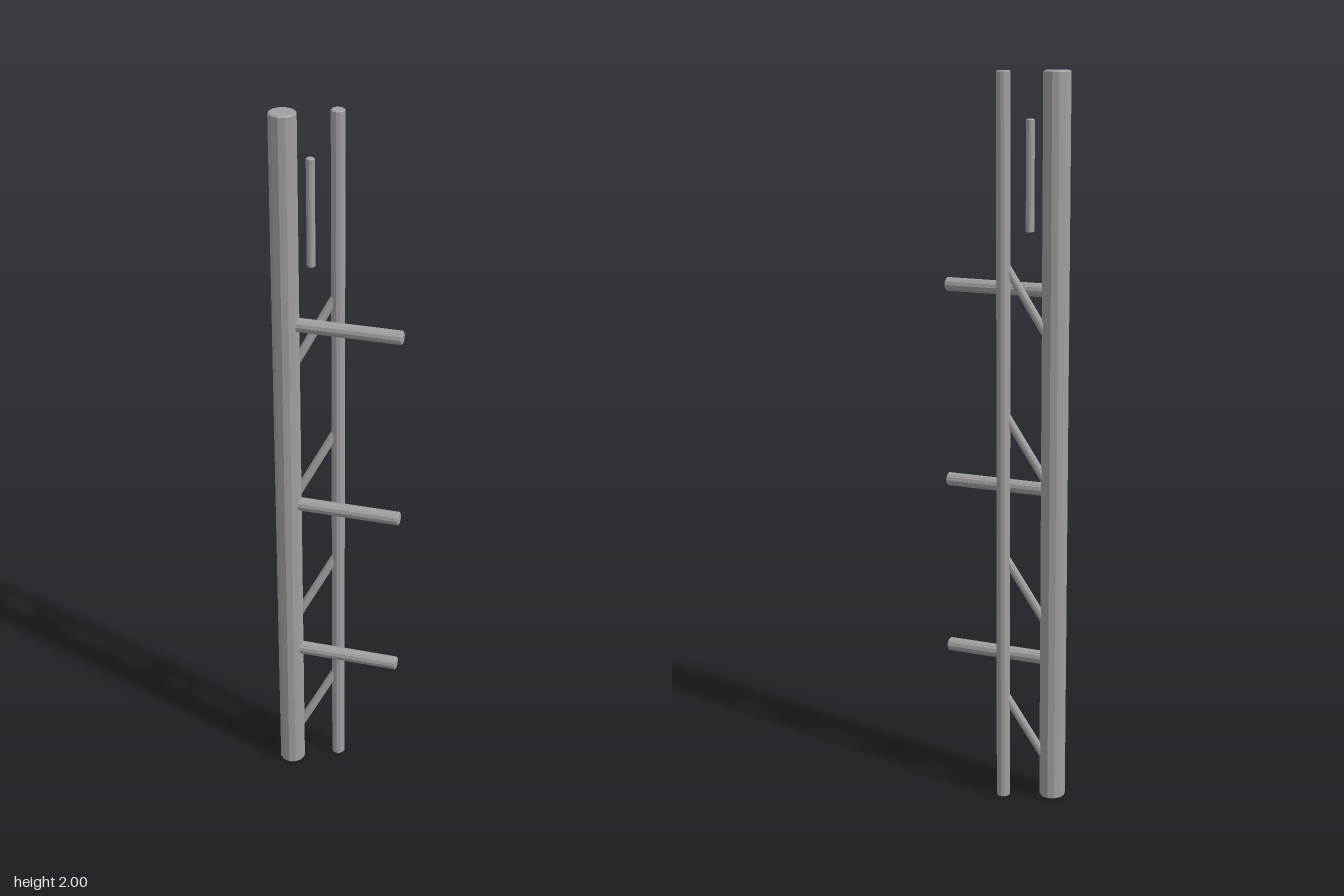
import * as THREE from 'three';

const steel = new THREE.MeshStandardMaterial({ color: 0xa0a0a0, flatShading: true });
steel.name = 'grey steel';

// Twelve-sided bar with slightly chamfered ends, running from one point to another
function bar(name, radius, from, to, bevel = 0.003) {
  const a = new THREE.Vector3(...from);
  const b = new THREE.Vector3(...to);
  const h = a.distanceTo(b) / 2;
  const profile = [
    [0, -h], [radius - bevel, -h], [radius, -h + bevel],
    [radius, h - bevel], [radius - bevel, h], [0, h],
  ].map(([x, y]) => new THREE.Vector2(x, y));
  const mesh = new THREE.Mesh(new THREE.LatheGeometry(profile, 12), steel);
  mesh.name = name;
  mesh.position.copy(a).add(b).multiplyScalar(0.5);
  mesh.quaternion.setFromUnitVectors(new THREE.Vector3(0, 1, 0), b.sub(a).normalize());
  return mesh;
}

export function createModel() {
  const model = new THREE.Group();
  model.name = 'braced pole';

  const [px, pz] = [-0.1385, 0.02];
  const [tx, tz] = [-0.0135, -0.0375];

  // Uprights
  model.add(bar('mainPole', 0.0365, [px, 0, pz], [px, 2, pz]));
  model.add(bar('thinPole', 0.0187, [tx, 0, tz], [tx, 2, tz]));

  // Short free rod between the uprights
  model.add(bar('shortRod', 0.0115, [-0.077, 1.588, -0.0095], [-0.077, 1.878, -0.0095], 0.002));

  // Side rungs
  for (const y of [0.405, 0.89, 1.433]) {
    model.add(bar('rung', 0.0187, [px, y, pz], [0.175, y, pz]));
  }

  // Diagonal braces joining the uprights
  for (let i = 0; i < 4; i++) {
    const y = 0.075 + i * 0.4;
    model.add(bar('brace', 0.0115, [px, y, pz], [tx, y + 0.237, tz], 0.002));
  }
  return model;
}
